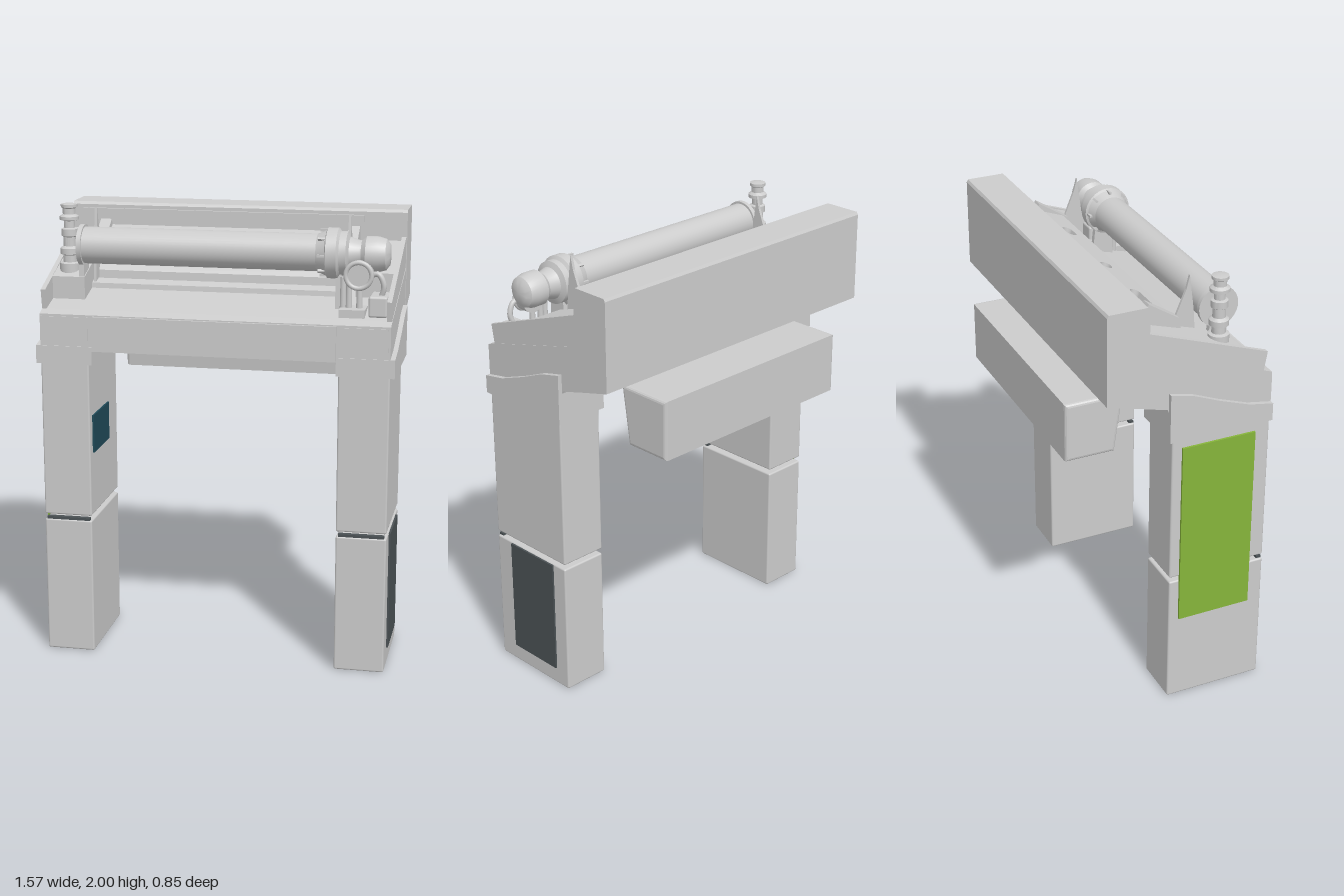
import * as THREE from 'three';
import { RoundedBoxGeometry } from 'three/addons/geometries/RoundedBoxGeometry.js';
import { toCreasedNormals } from 'three/addons/utils/BufferGeometryUtils.js';

const mat = (color) => new THREE.MeshStandardMaterial({ color, side: THREE.DoubleSide });

export function createModel() {
  const model = new THREE.Group();
  model.name = 'gantryMachine';
  const grey = mat(0xcccccc), dark = mat(0x4b5255), green = mat(0x86b43a), teal = mat(0x1f4a58);

  const add = (name, geo, material = grey) => {
    const mesh = new THREE.Mesh(geo, material);
    mesh.name = name;
    model.add(mesh);
    return mesh;
  };
  // Box from its limits, optionally with rounded edges
  const box = (name, [x0, x1], [y0, y1], [z0, z1], material = grey, r = 0) => {
    const s = [x1 - x0, y1 - y0, z1 - z0];
    const geo = r ? new RoundedBoxGeometry(...s, 2, r) : new THREE.BoxGeometry(...s);
    geo.translate((x0 + x1) / 2, (y0 + y1) / 2, (z0 + z1) / 2);
    return add(name, geo, material);
  };
  // Side profile of [z, y] points, extruded from x0 to x1
  const prism = (name, pts, x0, x1, bevel = 0) => {
    const shape = new THREE.Shape(pts.map(([z, y]) => new THREE.Vector2(z, y)));
    const geo = new THREE.ExtrudeGeometry(shape, {
      depth: x1 - x0 - 2 * bevel, bevelEnabled: bevel > 0, bevelSize: bevel,
      bevelThickness: bevel, bevelOffset: -bevel, bevelSegments: 3,
    });
    geo.rotateY(-Math.PI / 2).translate(x1 - bevel, 0, 0);
    return add(name, geo);
  };
  // Turned part: [radius, position] points, along y or along x
  const turned = (name, pts, [x, y, z], alongX = false, sides = 32) => {
    let geo = new THREE.LatheGeometry(pts.map((p) => new THREE.Vector2(...p)), sides);
    if (alongX) geo.rotateZ(-Math.PI / 2);
    geo = toCreasedNormals(geo, 0.6);
    return add(name, geo.translate(x, y, z));
  };

  // Legs: two stacked cabinets a side, with a narrow gap and a cradle on top
  for (const [side, x0, x1, c0, c1] of [['right', -0.765, -0.55, -0.785, -0.535], ['left', 0.54, 0.76, 0.53, 0.78]]) {
    box(side + 'LowerLeg', [x0, x1], [0, 0.615], [-0.045, 0.41], grey, 0.008);
    box(side + 'UpperLeg', [x0, x1], [0.637, 1.34], [-0.045, 0.41], grey, 0.008);
    box(side + 'LegSeam', [x0 + 0.01, x1 - 0.01], [0.614, 0.626], [0.385, 0.408], dark);
    prism(side + 'Cradle', [[0.412, 1.325], [0.412, 1.405], [0.3, 1.425], [0.16, 1.475], [0.04, 1.525],
      [-0.065, 1.55], [-0.065, 1.325]], c0, c1);
  }

  // Panels on the legs
  box('greenPanel', [-0.775, -0.763], [0.415, 1.28], [0, 0.34], green);
  box('serviceDoor', [0.755, 0.768], [0.08, 0.61], [0.03, 0.31], dark);
  box('displayPanel', [-0.552, -0.542], [0.92, 1.09], [0.12, 0.37], teal);
  box('controlPanel', [0.533, 0.545], [0.85, 1.13], [0.05, 0.17], dark);

  // Sloping bed and the tall housing behind it
  prism('bed', [[0.41, 1.385], [0.41, 1.545], [0.37, 1.56], [-0.16, 1.70], [-0.16, 1.5],
    [-0.07, 1.475], [-0.05, 1.43]], -0.765, 0.76);
  prism('rearHousing', [[-0.155, 1.5], [-0.155, 1.945], [-0.165, 1.957], [-0.335, 1.957], [-0.342, 1.945],
    [-0.342, 1.55]], -0.767, 0.762);
  box('rearHousingLedge', [-0.72, 0.57], [1.90, 1.93], [-0.16, -0.14]);
  box('frontPanel', [-0.53, 0.53], [1.39, 1.54], [0.405, 0.422]);
  for (const x of [-0.66, 0.64]) box('endPanel', [x - 0.1, x + 0.11], [1.41, 1.535], [0.405, 0.414]);

  // Side plates and the end boxes within them
  for (const [x0, x1] of [[-0.765, -0.745], [0.738, 0.758]])
    prism('sidePlate', [[0.37, 1.56], [0.385, 1.645], [-0.155, 1.838], [-0.155, 1.69]], x0, x1);
  prism('rightEndBox', [[0.27, 1.575], [0.27, 1.685], [0.1, 1.74], [-0.155, 1.82], [-0.155, 1.66]], -0.746, -0.6);
  prism('leftEndBox', [[0.15, 1.6], [0.15, 1.725], [-0.155, 1.82], [-0.155, 1.66]], 0.575, 0.739);

  // Tank hung behind the legs
  prism('rearTank', [[-0.16, 1.46], [-0.425, 1.46], [-0.425, 1.19], [-0.20, 1.19]], -0.538, 0.515, 0.015);
  for (const x of [-0.36, 0.34])
    prism('tankMount', [[-0.07, 1.5], [-0.19, 1.53], [-0.19, 1.42], [-0.11, 1.42]], x - 0.05, x + 0.05);

  // Slotted cover, tilted, on end brackets
  const cover = new THREE.Shape([[-0.6, -0.07], [0.51, -0.07], [0.51, 0.07], [-0.6, 0.07]]
    .map((p) => new THREE.Vector2(...p)));
  for (const [x, half] of [[-0.445, 0.055], [-0.105, 0.008], [0.285, 0.022]]) {
    const slot = new THREE.Path();
    slot.absarc(x + half, 0, 0.023, -Math.PI / 2, Math.PI / 2);
    slot.absarc(x - half, 0, 0.023, Math.PI / 2, Math.PI * 1.5);
    cover.holes.push(slot);
  }
  const coverGeo = new THREE.ExtrudeGeometry(cover, { depth: 0.025, bevelEnabled: false, curveSegments: 10 });
  coverGeo.rotateX(-Math.PI / 2 + 0.36).translate(0, 1.815, -0.05);
  add('slottedCover', coverGeo);
  for (const x of [-0.6, 0.49])
    prism('coverBracket', [[0.03, 1.64], [0.02, 1.80], [-0.115, 1.84], [-0.115, 1.68]], x, x + 0.02);

  // Guide bars under the roller
  prism('guideBar', [[0.105, 1.62], [0.1, 1.69], [0.085, 1.712], [0.03, 1.73], [0.02, 1.72], [0.02, 1.64]], -0.58, 0.5);
  prism('lowerGuideBar', [[0.155, 1.6], [0.15, 1.64], [0.1, 1.655], [0.1, 1.62]], -0.6, 0.51);

  // Roller with its motor end
  const axis = [0, 1.82, 0.225];
  turned('roller', [[0, -0.615], [0.08, -0.615], [0.08, 0.44], [0, 0.44]], axis, true, 40);
  turned('rollerEndDisc', [[0, -0.625], [0.09, -0.625], [0.09, -0.605], [0, -0.605]], axis, true);
  turned('driveFlange', [[0.08, 0.42], [0.098, 0.46], [0.108, 0.465], [0.108, 0.51], [0.094, 0.52],
    [0.094, 0.55], [0.07, 0.56], [0.058, 0.60], [0.058, 0.62], [0, 0.62]], axis, true);
  turned('driveMotor', [[0, 0.60], [0.06, 0.61], [0.076, 0.63], [0.076, 0.68], [0.066, 0.715],
    [0.045, 0.73], [0, 0.735]], axis, true);
  for (const i of [0, 1, 2, 3, 4, 5, 6, 7]) {
    const rib = add('flangeRib', new THREE.BoxGeometry(0.05, 0.012, 0.01));
    const a = (i * Math.PI) / 4;
    rib.position.set(0.455, 1.82 + 0.096 * Math.cos(a), 0.225 + 0.096 * Math.sin(a));
    rib.rotation.x = a;
  }

  // Roller bearings and upright blades
  for (const x of [-0.615, 0.515]) {
    prism('bearingBlock', [[0.27, 1.57], [0.26, 1.79], [0.19, 1.79], [0.17, 1.61]], x - 0.012, x + 0.012);
    prism('blade', [[0.14, 1.62], [0.125, 1.82], [0.105, 1.97], [0.09, 1.91], [0.045, 1.80], [0.02, 1.65]], x + 0.02, x + 0.032);
    prism('bladeArm', [[0.06, 1.72], [0.05, 1.80], [-0.09, 1.89], [-0.11, 1.85], [-0.05, 1.74]], x - 0.005, x + 0.045);
  }

  // Valve post at one end
  turned('valvePost', [[0, 1.66], [0.045, 1.66], [0.045, 1.735], [0.03, 1.74], [0.03, 1.77], [0.042, 1.775], [0.042, 1.80],
    [0.028, 1.81], [0.028, 1.85], [0.036, 1.855], [0.036, 1.885], [0.024, 1.89], [0.024, 1.92], [0.042, 1.925],
    [0.042, 1.94], [0.028, 1.95], [0.028, 1.975], [0.036, 1.98], [0.036, 1.993], [0, 2]], [-0.685, 0, 0.195], false, 20);

  // Pump cluster at the other end
  const gauge = new THREE.CylinderGeometry(0.058, 0.058, 0.06, 28).rotateX(Math.PI / 2);
  add('pumpHead', gauge.clone().translate(0.61, 1.745, 0.305));
  add('pumpRim', new THREE.TorusGeometry(0.055, 0.01, 8, 28).translate(0.61, 1.745, 0.335));
  for (const x of [0.54, 0.565, 0.61])
    add('pumpPipe', new THREE.CylinderGeometry(0.012, 0.014, 0.16, 14).translate(x, 1.65, 0.29));
  box('pumpBase', [0.53, 0.64], [1.56, 1.60], [0.24, 0.35]);
  box('pumpBlock', [0.655, 0.735], [1.57, 1.66], [0.22, 0.35], grey, 0.01);
  const hose = new THREE.CatmullRomCurve3([[0.64, 1.73, 0.3], [0.69, 1.75, 0.31], [0.715, 1.7, 0.31], [0.7, 1.64, 0.3]]
    .map((p) => new THREE.Vector3(...p)));
  add('hose', new THREE.TubeGeometry(hose, 20, 0.012, 10));

  return model;
}
